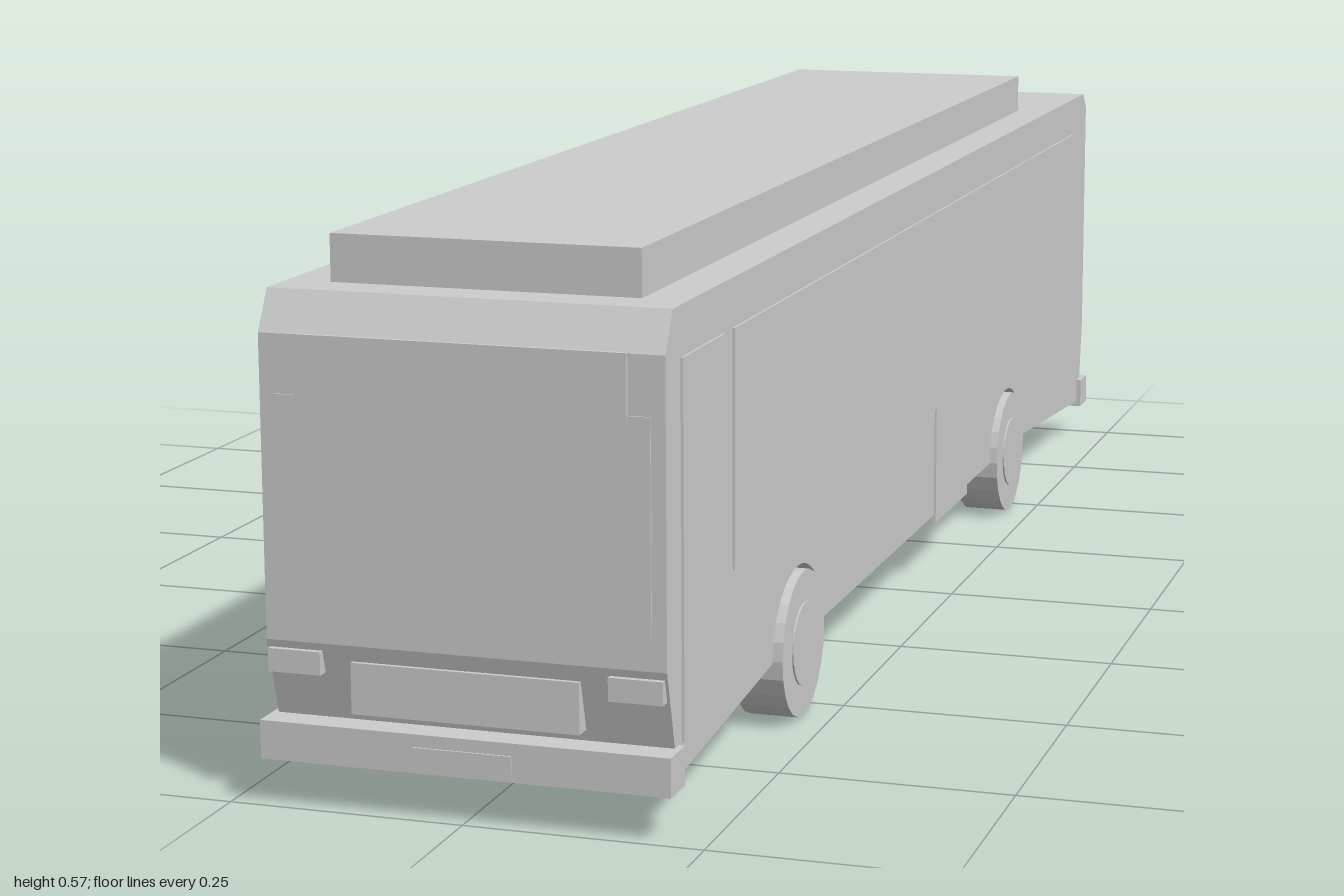
import * as THREE from 'three';

export function createModel() {
  const bus = new THREE.Group();
  bus.name = 'bus';
  const grey = new THREE.MeshStandardMaterial({ color: 0xcccccc, flatShading: true });
  grey.name = 'plain grey';

  const add = (name, geometry, x = 0, y = 0, z = 0) => {
    const mesh = new THREE.Mesh(geometry, grey);
    mesh.name = name;
    mesh.position.set(x, y, z);
    bus.add(mesh);
    return mesh;
  };
  // Box given by its limits on each axis
  const block = (name, x0, x1, y0, y1, z0, z1) =>
    add(name, new THREE.BoxGeometry(x1 - x0, y1 - y0, z1 - z0),
      (x0 + x1) / 2, (y0 + y1) / 2, (z0 + z1) / 2);

  const axles = [0.545, -0.469];
  const halfWidth = 0.21;

  // Body: side profile (z, y) with open wheel arches, extruded across the width
  const profile = new THREE.Shape();
  profile.moveTo(-0.965, 0.055);
  for (const z of [...axles].reverse()) {
    profile.lineTo(z - 0.095, 0.083);
    profile.absellipse(z, 0.083, 0.095, 0.084, Math.PI, 0, true);
  }
  const outline = [[0.965, 0.055], [0.967, 0.088], [0.99, 0.17], [0.99, 0.48], [0.967, 0.521],
    [-0.967, 0.521], [-0.987, 0.5], [-0.987, 0.17], [-0.973, 0.088]];
  outline.forEach(([z, y]) => profile.lineTo(z, y));
  profile.closePath();
  const bodyGeometry = new THREE.ExtrudeGeometry(profile,
    { depth: halfWidth * 2, bevelEnabled: false, curveSegments: 14 });
  bodyGeometry.rotateY(-Math.PI / 2).translate(halfWidth, 0, 0);
  add('body', bodyGeometry);

  // Roof equipment housing
  block('roofHousing', -0.163, 0.163, 0.515, 0.57, -0.73, 0.92);

  // Side glazing and doors, standing slightly proud of the body
  const skin = 0.2125;
  block('rightWindows', 0.208, skin, 0.22, 0.47, -0.885, 0.78);
  block('leftWindows', -skin, -0.208, 0.22, 0.47, -0.885, 0.77);
  block('middleDoor', 0.207, skin, 0.073, 0.47, -0.235, -0.065);
  block('frontDoor', 0.207, skin, 0.088, 0.47, 0.81, 0.945);

  // Front details
  block('windscreen', -0.195, 0.195, 0.2, 0.42, 0.988, 0.992);
  block('destinationSign', -0.172, 0.172, 0.41, 0.481, 0.985, 0.994);
  block('grille', -0.12, 0.12, 0.1, 0.153, 0.965, 0.99);

  // Bumpers, plates and lamps at both ends
  for (const end of [1, -1]) {
    const label = end > 0 ? 'front' : 'rear';
    const span = (a, b) => (end > 0 ? [a, b] : [-b, -a]);
    block(label + 'Bumper', -0.216, 0.216, 0.048, 0.088, ...span(0.955, 0.998));
    block(label + 'Plate', -0.052, 0.052, 0.053, 0.075, ...span(0.996, 1.0));
    for (const side of [1, -1]) {
      const x = side * 0.179;
      block(label + 'Lamp', x - 0.028, x + 0.028, 0.138, 0.162, ...span(0.965, 0.994));
    }
  }

  // Wheels with raised hubs, and the axles joining them
  const disc = (radius, width, sides) =>
    new THREE.CylinderGeometry(radius, radius, width, sides).rotateZ(Math.PI / 2);
  for (const z of axles) {
    add('axle', disc(0.028, 0.34, 12), 0, 0.081, z);
    for (const side of [1, -1]) {
      add('wheel', disc(0.081, 0.055, 24), side * 0.1895, 0.081, z);
      add('hub', disc(0.046, 0.006, 24), side * 0.216, 0.081, z);
    }
  }
  return bus;
}
